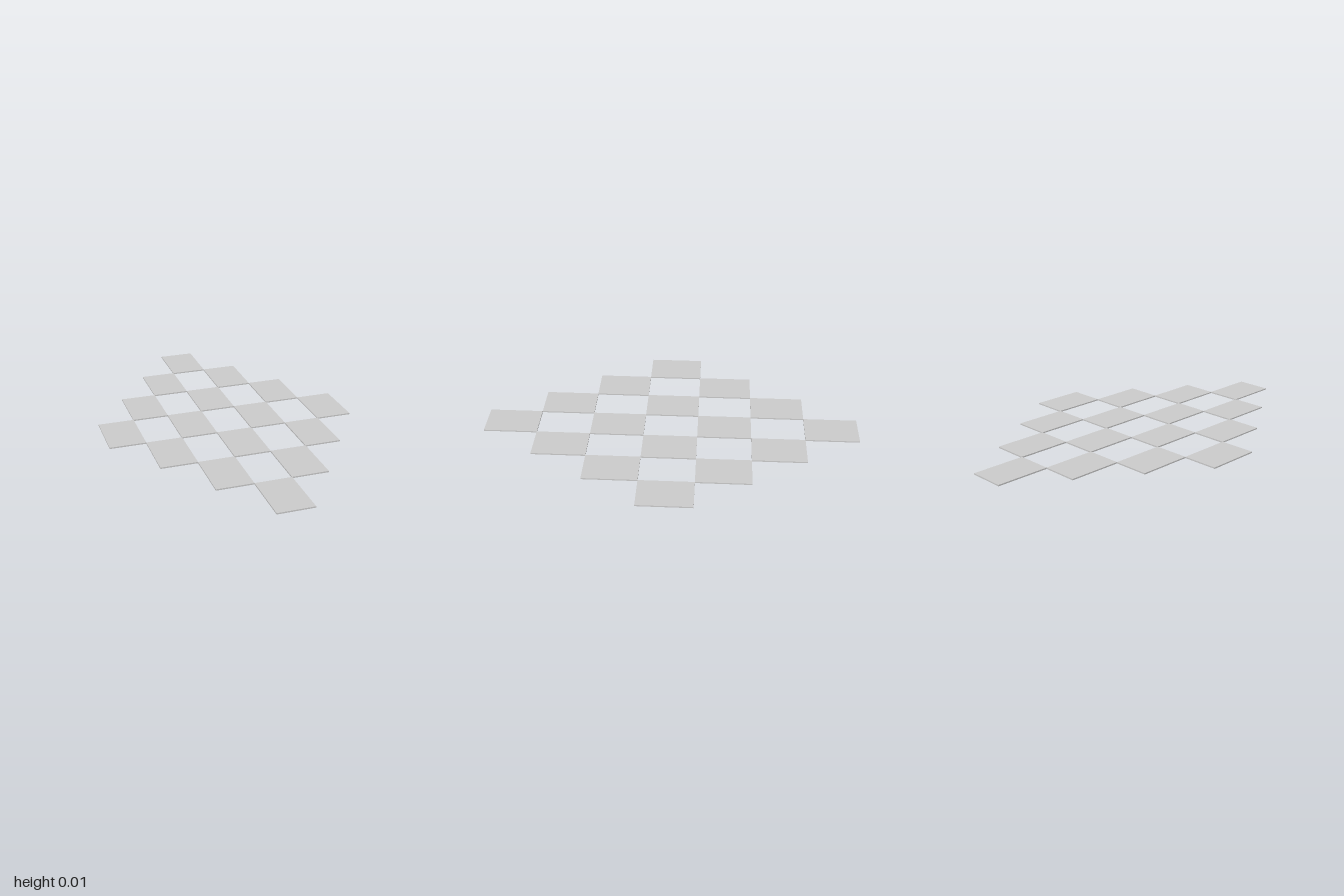
import * as THREE from 'three';

// Flat diamond of thin rectangular tiles that meet only at their corners
export function createModel() {
  const model = new THREE.Group();
  model.name = 'tileDiamond';

  const width = 0.19, depth = 2 / 7, thickness = 0.007, perSide = 4;
  const material = new THREE.MeshStandardMaterial({ color: 0xcccccc });
  const geometry = new THREE.BoxGeometry(width, thickness, depth);

  // Step along both diagonals of the diamond
  for (let i = 0; i < perSide; i++) {
    for (let j = 0; j < perSide; j++) {
      const tile = new THREE.Mesh(geometry, material);
      tile.name = `tile_${i + 1}_${j + 1}`;
      tile.position.set((i - j) * width, thickness / 2, (i + j - perSide + 1) * depth);
      model.add(tile);
    }
  }
  return model;
}
